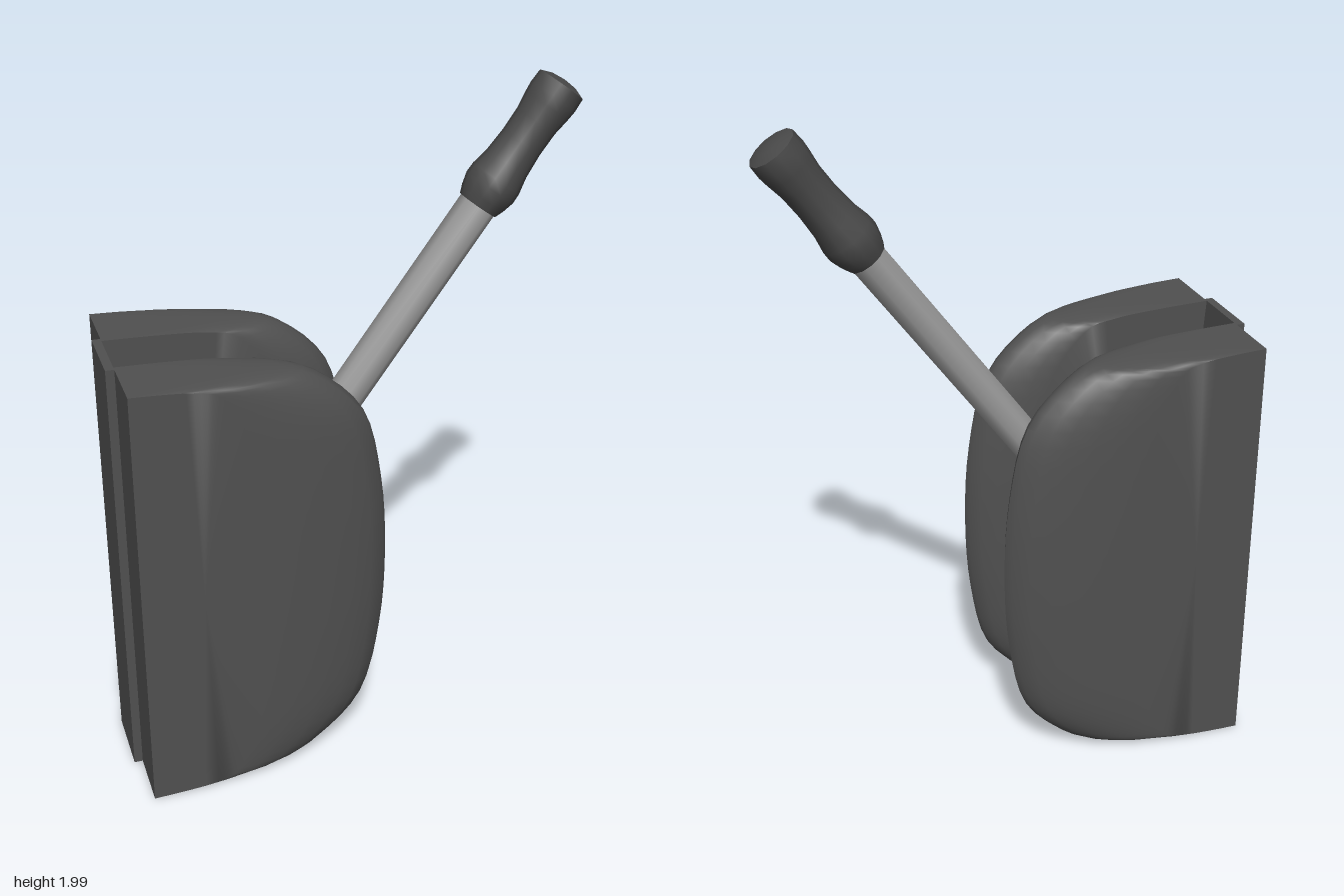
import * as THREE from 'three';
import { toCreasedNormals } from 'three/addons/utils/BufferGeometryUtils.js';

const material = (color) => new THREE.MeshStandardMaterial({ color });
const bodyMat = material(0x505050);
const gripMat = material(0x484848);
const rodMat = material(0x999999);

// Stack scaled copies of a counter-clockwise outline along z; layers are [z, scaleX, scaleY]
function loft(outline, layers, anchorX, anchorY, crease) {
  const n = outline.length, pos = [], idx = [];
  const add = (p, [z, sx, sy]) =>
    pos.push(anchorX + (p.x - anchorX) * sx, anchorY + (p.y - anchorY) * sy, z);
  for (const layer of layers) for (const p of outline) add(p, layer);
  for (let k = 0; k < layers.length - 1; k++) {
    for (let i = 0; i < n; i++) {
      const a = k * n + i, b = k * n + (i + 1) % n;
      idx.push(a, b, b + n, a, b + n, a + n);
    }
  }
  // End caps as fans
  const last = (layers.length - 1) * n, c0 = last + n, c1 = c0 + 1;
  const xs = outline.map((p) => p.x);
  const mid = new THREE.Vector2((Math.min(...xs) + Math.max(...xs)) / 2, anchorY);
  add(mid, layers[0]);
  add(mid, layers.at(-1));
  for (let i = 0; i < n; i++) {
    const j = (i + 1) % n;
    idx.push(c0, j, i, c1, last + i, last + j);
  }
  const g = new THREE.BufferGeometry();
  g.setAttribute('position', new THREE.Float32BufferAttribute(pos, 3));
  g.setIndex(idx);
  return toCreasedNormals(g, crease);
}

export function createModel() {
  const model = new THREE.Group();
  const add = (name, geometry, mat, parent = model) => {
    const mesh = new THREE.Mesh(geometry, mat);
    mesh.name = name;
    parent.add(mesh);
    return mesh;
  };
  const H = 1.315;

  // D-shaped cheeks with a bullet-shaped plan
  const lower = [[-0.675, 0], [-0.45, 0.005], [-0.27, 0.015], [-0.14, 0.045], [0, 0.185], [0.055, 0.41]];
  const upper = lower.map(([x, y]) => [x, H - y]).reverse();
  const curve = new THREE.SplineCurve(
    [...lower, [0.07, H / 2], ...upper].map((p) => new THREE.Vector2(...p)));
  const plan = [
    [0.09, 0.74], [0.1, 0.82], [0.115, 0.89], [0.135, 0.95], [0.16, 0.99], [0.18, 1],
    [0.205, 0.98], [0.23, 0.92], [0.25, 0.84], [0.268, 0.73], [0.28, 0.6], [0.286, 0.48],
  ].map(([z, s]) => [z, s, 1]);
  const cheekGeometry = loft(curve.getPoints(48), plan, -0.675, H / 2, 0.75);
  add('leftCheek', cheekGeometry, bodyMat);
  const rear = add('rightCheek', cheekGeometry, bodyMat);
  rear.rotation.x = Math.PI;
  rear.position.y = H;

  // Back plate sweeping forward into the floor of the slot
  const plate = new THREE.Shape();
  plate.moveTo(-0.7, 0);
  plate.lineTo(-0.4, 0);
  plate.lineTo(-0.4, 0.02);
  plate.bezierCurveTo(-0.56, 0.3, -0.64, 0.75, -0.675, H);
  plate.lineTo(-0.7, H);
  plate.closePath();
  const plateGeometry = new THREE.ExtrudeGeometry(plate,
    { depth: 0.21, bevelEnabled: false, curveSegments: 16 });
  plateGeometry.translate(0, 0, -0.105);
  add('slottedBackPlate', toCreasedNormals(plateGeometry, 0.6), bodyMat);

  // Rounded pivot hub between the cheeks
  const hubOutline = new THREE.SplineCurve([
    [-0.46, 0.86], [-0.44, 0.55], [-0.34, 0.37], [-0.2, 0.36], [-0.08, 0.46],
    [-0.03, 0.64], [-0.07, 0.8], [-0.17, 0.88], [-0.32, 0.9], [-0.46, 0.86],
  ].map((p) => new THREE.Vector2(...p))).getPoints(36).slice(0, -1);
  const hubLayers = [];
  for (let i = 0; i <= 10; i++) {
    const t = -1 + i / 5;
    const s = 0.72 + 0.28 * Math.sqrt(1 - t * t);
    hubLayers.push([0.09 * t, s, s]);
  }
  add('pivotHub', loft(hubOutline, hubLayers, -0.46, 0.64, 0.8), bodyMat);

  // Tilted lever: its local y runs along the rod, with the origin at the grip's lower end
  const lever = new THREE.Group();
  lever.name = 'lever';
  lever.position.set(0.395, 1.625, 0);
  lever.rotation.z = -Math.atan2(0.24, 0.33);
  model.add(lever);

  const rod = new THREE.CylinderGeometry(0.056, 0.056, 1.1, 8);
  rod.rotateY(Math.PI / 8);
  rod.translate(0, -0.5, 0);
  add('rod', toCreasedNormals(rod, 0.9), rodMat, lever);

  // Waisted hand grip with a collar and a slightly domed end
  const grip = new THREE.LatheGeometry([
    [0, 0], [0.06, 0], [0.07, 0.025], [0.079, 0.06], [0.078, 0.09], [0.068, 0.14], [0.063, 0.21],
    [0.064, 0.28], [0.071, 0.33], [0.074, 0.36], [0.072, 0.4], [0.04, 0.412], [0, 0.416],
  ].map((p) => new THREE.Vector2(...p)), 12);
  add('grip', toCreasedNormals(grip, 0.8), gripMat, lever);

  return model;
}
